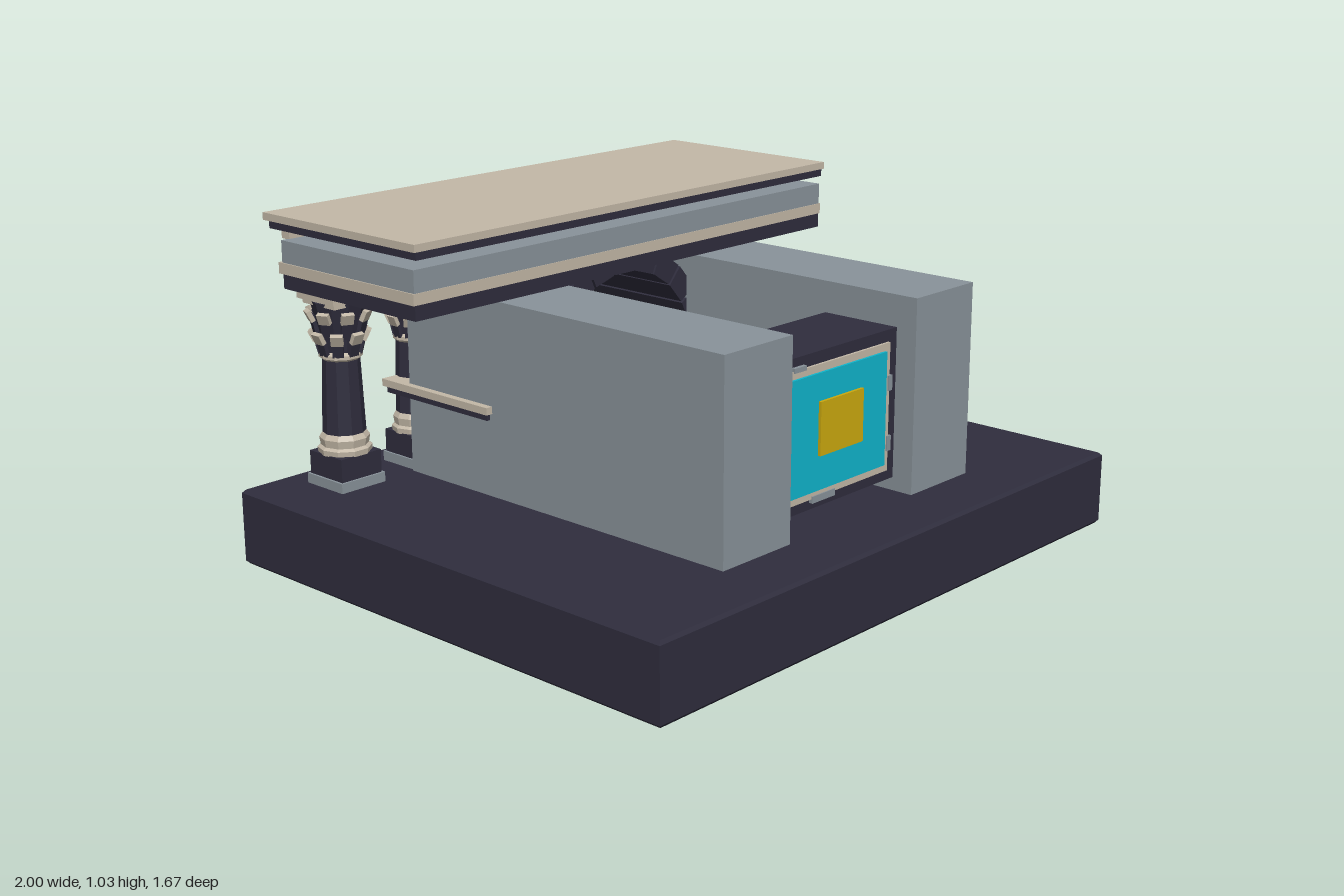
import * as THREE from 'three';

const mat = (name, color, side = THREE.FrontSide) => {
  const m = new THREE.MeshStandardMaterial({ color, side });
  m.name = name;
  return m;
};

export function createModel() {
  const dark = mat('dark slate', 0x2f2d3d, THREE.DoubleSide);
  const grey = mat('grey stone', 0x89939a);
  const cream = mat('cream stone', 0xc3b8a7);
  const cyan = mat('cyan panel', 0x10b5cc);
  const gold = mat('gold panel', 0xcba90f);

  const root = new THREE.Group();
  const add = (parent, name, geo, material, x = 0, y = 0, z = 0) => {
    const m = new THREE.Mesh(geo, material);
    m.name = name;
    m.position.set(x, y, z);
    parent.add(m);
    return m;
  };
  // box given by its limits on each axis
  const block = (parent, name, material, x0, x1, y0, y1, z0, z1) =>
    add(parent, name, new THREE.BoxGeometry(x1 - x0, y1 - y0, z1 - z0), material,
      (x0 + x1) / 2, (y0 + y1) / 2, (z0 + z1) / 2);
  // faceted turning from [radius, height] pairs
  const turned = (profile, sides) => {
    const pts = profile.map(([r, y]) => new THREE.Vector2(r, y));
    const g = new THREE.LatheGeometry(pts, sides, Math.PI / sides).toNonIndexed();
    g.computeVertexNormals();
    return g;
  };

  // Hollow plinth, open below, with small chamfers
  const q = Math.SQRT2;
  const base = turned([[0.99 * q, 0], [q, 0.01], [q, 0.22], [0.99 * q, 0.23], [0, 0.23]], 4);
  base.scale(1, 1, 0.833);
  base.computeVertexNormals();
  add(root, 'plinth', base, dark);

  // Long side walls, with jamb courses and impost mouldings at the arch end
  for (const s of [-1, 1]) {
    const side = new THREE.Group();
    side.name = s > 0 ? 'leftWall' : 'rightWall';
    const span = (name, m, a, b, ...rest) =>
      block(side, name, m, Math.min(s * a, s * b), Math.max(s * a, s * b), ...rest);
    span('wall', grey, 0.275, 0.548, 0.23, 0.815, -0.6, 0.638);
    for (let i = 0; i < 4; i++) {
      const inset = i % 2 ? 0.012 : 0;
      span('jambCourse', grey, 0.28 + inset, 0.4, 0.23 + i * 0.058, 0.284 + i * 0.058, -0.66 + inset, -0.59);
    }
    span('impostLower', dark, 0.282, 0.56, 0.46, 0.48, -0.69, -0.25);
    span('impostUpper', cream, 0.277, 0.57, 0.48, 0.502, -0.7, -0.24);
    root.add(side);
  }

  // Barrel arch made of separate voussoirs
  const arch = new THREE.Group();
  arch.name = 'arch';
  const count = 11, gap = 0.012;
  const voussoirs = (name, r0, r1, z0, z1) => {
    for (let i = 0; i < count; i++) {
      const a = Math.PI * i / count + gap, b = Math.PI * (i + 1) / count - gap;
      const p = (r, t) => new THREE.Vector2(r * Math.cos(t), r * Math.sin(t));
      const shape = new THREE.Shape([p(r0, a), p(r1, a), p(r1, b), p(r0, b)]);
      const g = new THREE.ExtrudeGeometry(shape, { depth: z1 - z0, bevelEnabled: false });
      add(arch, name, g, dark, 0, 0.502, z0);
    }
  };
  voussoirs('voussoir', 0.3, 0.37, -0.64, -0.24);
  voussoirs('outerVoussoir', 0.345, 0.385, -0.66, -0.6);
  root.add(arch);

  // Columns: stepped foot, tapered shaft, two rows of leaves and a square abacus
  const footGeo = turned([[0.078, 0.328], [0.08, 0.345], [0.07, 0.352], [0.074, 0.375], [0.064, 0.39], [0, 0.39]], 10);
  const shaftGeo = turned([[0.064, 0.385], [0.055, 0.615]], 10);
  const collarGeo = turned([[0.055, 0.61], [0.064, 0.617], [0.064, 0.628], [0.052, 0.636]], 10);
  const bellGeo = turned([[0.052, 0.63], [0.06, 0.69], [0.082, 0.785], [0, 0.785]], 10);
  const makeColumn = (name, x, z, k) => {
    const c = new THREE.Group();
    c.name = name;
    c.position.set(x, 0, z);
    c.scale.set(k, 1, k);
    block(c, 'footSlab', grey, -0.08, 0.08, 0.23, 0.26, -0.08, 0.08);
    block(c, 'footBlock', dark, -0.073, 0.073, 0.26, 0.33, -0.073, 0.073);
    add(c, 'footMoulding', footGeo, cream);
    add(c, 'shaft', shaftGeo, dark);
    add(c, 'collar', collarGeo, cream);
    add(c, 'capitalBell', bellGeo, dark);
    for (const [row, y, r, h] of [[0, 0.655, 0.064, 0.06], [1, 0.715, 0.074, 0.07]]) {
      for (let i = 0; i < 8; i++) {
        const leaf = new THREE.Group();
        leaf.name = 'capitalLeaf';
        leaf.rotation.y = (i + row * 0.5) * Math.PI / 4;
        const stem = add(leaf, 'leafStem', new THREE.BoxGeometry(0.032, h, 0.012), dark, 0, y, r);
        stem.rotation.x = 0.25;
        const tip = add(leaf, 'leafTip', new THREE.BoxGeometry(0.036, 0.034, 0.014), cream, 0, y + h * 0.42, r + 0.013);
        tip.rotation.x = 0.45;
        c.add(leaf);
      }
    }
    block(c, 'abacusLower', cream, -0.072, 0.072, 0.775, 0.79, -0.072, 0.072);
    block(c, 'abacus', cream, -0.084, 0.084, 0.79, 0.818, -0.084, 0.084);
    root.add(c);
  };
  for (const s of [-1, 1]) {
    makeColumn('outerColumn', s * 0.748, -0.663, 1);
    makeColumn('innerColumn', s * 0.472, -0.675, 0.86);
  }

  // Entablature and roof slab held up by a row of dentils
  const top = new THREE.Group();
  top.name = 'entablature';
  block(top, 'architrave', dark, -0.86, 0.86, 0.818, 0.862, -0.765, -0.19);
  block(top, 'fillet', cream, -0.866, 0.866, 0.862, 0.895, -0.777, -0.188);
  block(top, 'frieze', grey, -0.862, 0.862, 0.895, 0.96, -0.765, -0.19);
  for (let i = 0; i < 10; i++) {
    const x = (i - 4.5) * 0.1735;
    block(top, 'dentil', cream, x - 0.056, x + 0.056, 0.958, 0.988, -0.795, -0.76);
  }
  block(top, 'corniceUnderside', dark, -0.86, 0.86, 0.987, 1.01, -0.82, -0.18);
  block(top, 'corniceSlab', cream, -0.868, 0.868, 1.01, 1.032, -0.838, -0.176);
  root.add(top);

  // Raised chamber between the walls with a framed, layered front panel
  const chamber = new THREE.Group();
  chamber.name = 'chamber';
  block(chamber, 'chamberBody', dark, -0.275, 0.275, 0.27, 0.72, 0.31, 0.57);
  block(chamber, 'panelFrame', cream, -0.236, 0.236, 0.302, 0.685, 0.57, 0.578);
  block(chamber, 'cyanPanel', cyan, -0.212, 0.212, 0.325, 0.663, 0.578, 0.586);
  block(chamber, 'goldPanel', gold, -0.095, 0.095, 0.427, 0.583, 0.586, 0.595);
  for (const [x, y, w, h] of [[0.236, 0.565, 0.018, 0.045], [0.236, 0.385, 0.018, 0.045],
    [-0.06, 0.3, 0.1, 0.02], [-0.17, 0.688, 0.05, 0.014]]) {
    block(chamber, 'frameClip', grey, x - w / 2, x + w / 2, y - h / 2, y + h / 2, 0.57, 0.582);
  }
  root.add(chamber);

  return root;
}
